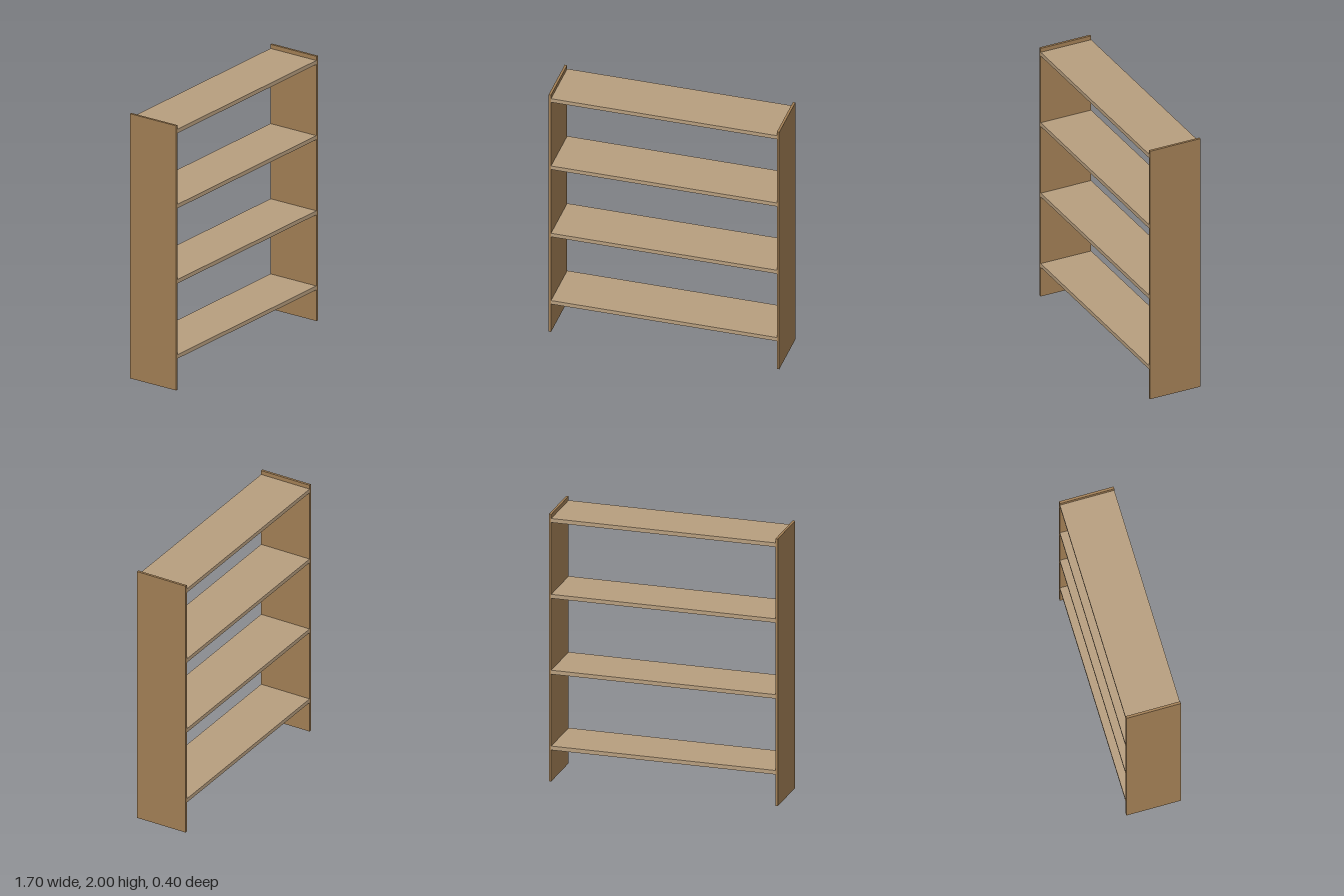
import * as THREE from 'three';

const HEIGHT = 2, DEPTH = 0.4, HALF_WIDTH = 0.848;
const PANEL = 0.018, SHELF = 0.03;

export function createModel() {
  const model = new THREE.Group();
  model.name = 'openShelf';
  const panelWood = new THREE.MeshStandardMaterial({ color: 0xa27f55 });
  const shelfWood = new THREE.MeshStandardMaterial({ color: 0xb89f7f });

  const board = (name, w, h, x, y, material) => {
    const mesh = new THREE.Mesh(new THREE.BoxGeometry(w, h, DEPTH), material);
    mesh.name = name;
    mesh.position.set(x, y, 0);
    model.add(mesh);
  };

  // Upright side panels
  for (const [name, side] of [['leftPanel', 1], ['rightPanel', -1]]) {
    board(name, PANEL, HEIGHT, side * (HALF_WIDTH - PANEL / 2), HEIGHT / 2, panelWood);
  }

  // Four evenly spaced shelves between the panels
  const shelfWidth = 2 * (HALF_WIDTH - PANEL);
  for (let i = 0; i < 4; i++) {
    board(`shelf${i + 1}`, shelfWidth, SHELF, 0, 0.25 + i * 0.568, shelfWood);
  }

  return model;
}
